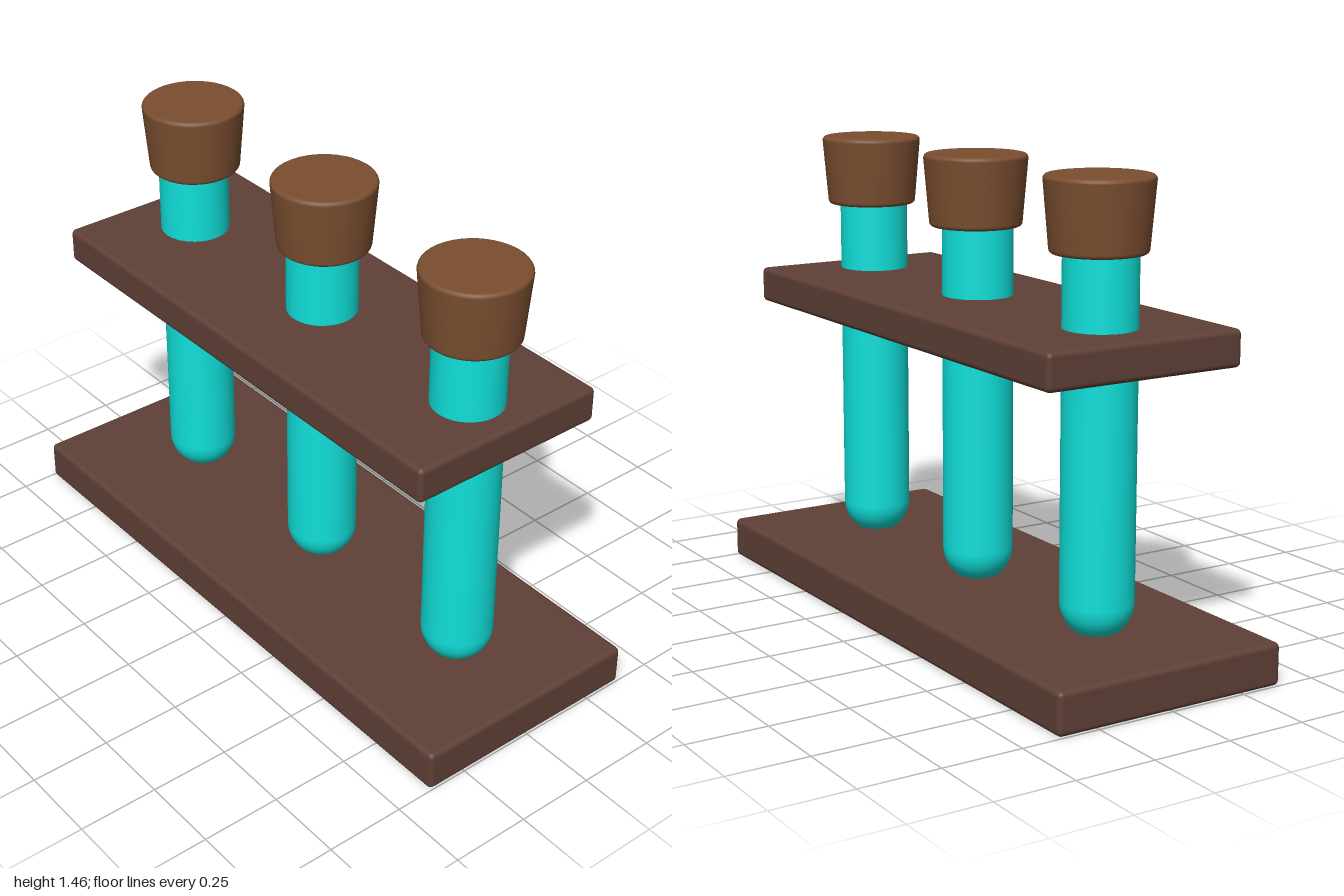
import * as THREE from 'three';
import { RoundedBoxGeometry } from 'three/addons/geometries/RoundedBoxGeometry.js';

const wood = new THREE.MeshStandardMaterial({ color: 0x5f4036 });
const cork = new THREE.MeshStandardMaterial({ color: 0x7a4e30 });
const glass = new THREE.MeshStandardMaterial({ color: 0x10e0da });

function add(parent, name, geometry, material, x, y, z) {
  const mesh = new THREE.Mesh(geometry, material);
  mesh.name = name;
  mesh.position.set(x, y, z);
  parent.add(mesh);
}

// Quarter-circle of profile points around (cx, cy)
function arc(cx, cy, r, from, to, steps) {
  return Array.from({ length: steps + 1 }, (_, i) => {
    const a = from + ((to - from) * i) / steps;
    return new THREE.Vector2(Math.max(0, cx + r * Math.cos(a)), cy + r * Math.sin(a));
  });
}

export function createModel() {
  const model = new THREE.Group();
  model.name = 'testTubeRack';

  // Base board and holding shelf
  add(model, 'base', new RoundedBoxGeometry(2, 0.13, 0.766, 3, 0.016), wood, 0, 0.066, 0);
  add(model, 'shelf', new RoundedBoxGeometry(1.712, 0.112, 0.66, 3, 0.016), wood, 0, 0.97, 0);

  // Tube: rounded bottom, straight wall, closed inside the stopper
  const r = 0.11;
  const tubeGeometry = new THREE.LatheGeometry([
    ...arc(0, 0.22, r, -Math.PI / 2, 0, 12),
    new THREE.Vector2(r, 1.28),
  ], 40);

  // Tapered stopper with softened rims
  const stopperGeometry = new THREE.LatheGeometry([
    new THREE.Vector2(0, 0),
    ...arc(0.130, 0.013, 0.013, -Math.PI / 2, 0, 4),
    ...arc(0.147, 0.209, 0.013, 0, Math.PI / 2, 4),
    new THREE.Vector2(0, 0.222),
  ], 40);

  for (const x of [-0.627, 0.025, 0.677]) {
    const unit = new THREE.Group();
    unit.name = 'stopperedTube';
    unit.position.x = x;
    add(unit, 'tube', tubeGeometry, glass, 0, 0, 0);
    add(unit, 'stopper', stopperGeometry, cork, 0, 1.239, -0.007);
    model.add(unit);
  }
  return model;
}
